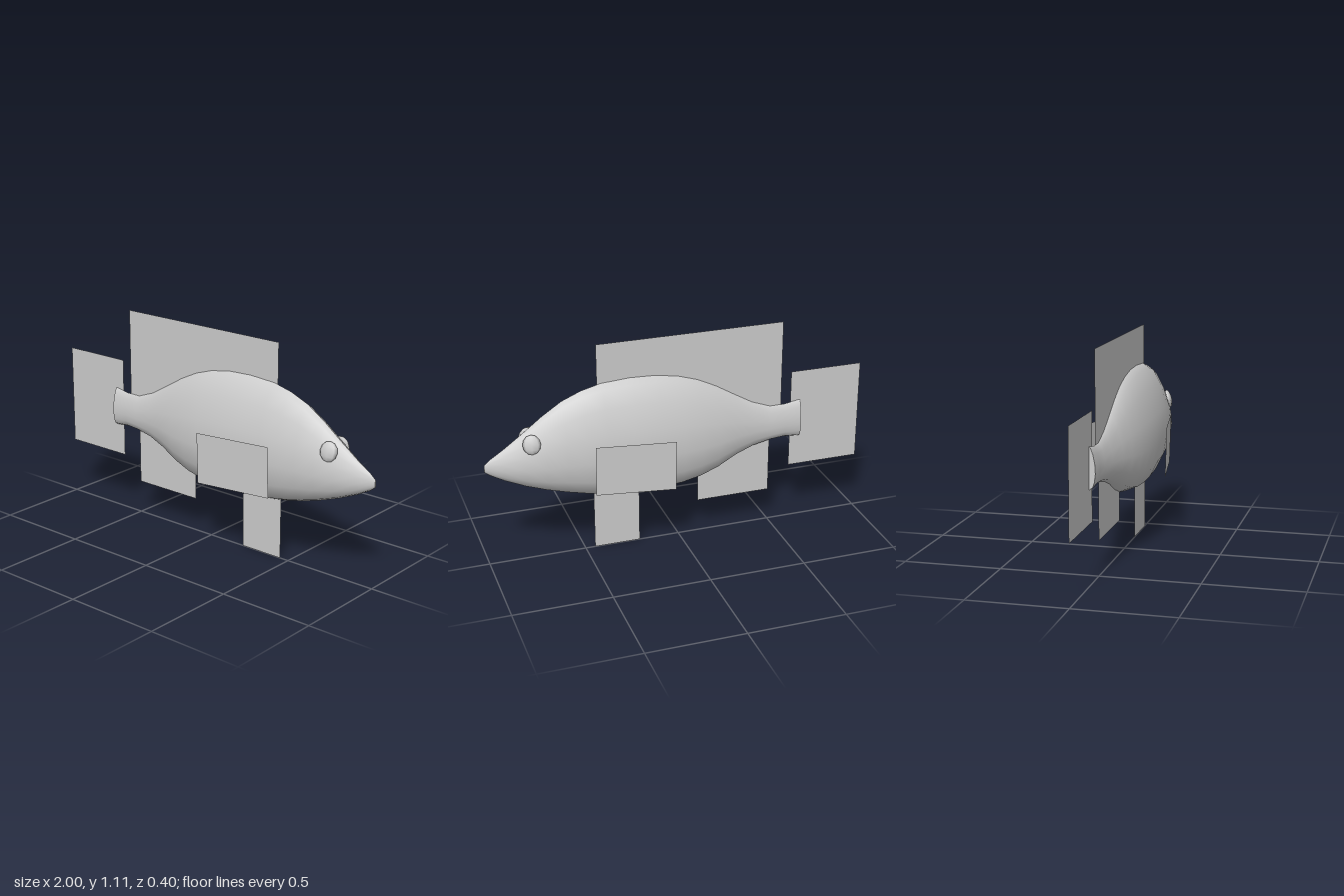
import * as THREE from 'three';

// Body stations from tail to nose: x, top, bottom, half width
const STATIONS = [
  [-0.665, 0.67, 0.465, 0.03], [-0.58, 0.656, 0.472, 0.03], [-0.5, 0.655, 0.466, 0.033],
  [-0.4, 0.692, 0.446, 0.046], [-0.3, 0.75, 0.41, 0.07], [-0.2, 0.81, 0.358, 0.094],
  [-0.1, 0.858, 0.322, 0.113], [0, 0.89, 0.302, 0.126], [0.12, 0.91, 0.295, 0.135],
  [0.25, 0.915, 0.298, 0.137], [0.4, 0.905, 0.306, 0.131], [0.5, 0.88, 0.322, 0.121],
  [0.6, 0.838, 0.346, 0.108], [0.7, 0.772, 0.376, 0.093], [0.8, 0.695, 0.412, 0.071],
  [0.9, 0.622, 0.456, 0.042], [0.97, 0.577, 0.494, 0.016], [0.997, 0.553, 0.515, 0.004],
];
// Half section from belly to back: height fraction, width fraction
const SECTION = [[0, 0], [0.05, 0.55], [0.187, 0.86], [0.38, 1], [0.61, 0.91], [0.82, 0.61], [0.96, 0.27], [1, 0]];

// One side of the body; each side is smooth, leaving a crease along back and belly
function bodySide(side) {
  const pos = [], index = [], n = SECTION.length;
  const tri = (a, b, c) => (side > 0 ? index.push(a, b, c) : index.push(a, c, b));
  const ring = ([x, top, bottom, w]) => {
    for (const [h, f] of SECTION) pos.push(x, bottom + (top - bottom) * h, side * w * f);
  };
  STATIONS.forEach(ring);
  for (let i = 0; i < STATIONS.length - 1; i++) {
    for (let j = 0; j < n - 1; j++) {
      const a = i * n + j, b = a + n;
      tri(a, b, b + 1);
      tri(a, b + 1, a + 1);
    }
  }
  // Flat caps at the tail and nose, with their own vertices for a sharp edge
  [STATIONS[0], STATIONS[STATIONS.length - 1]].forEach((station, end) => {
    const start = pos.length / 3;
    ring(station);
    for (let j = 1; j < n - 1; j++) {
      if (end === 0) tri(start, start + j, start + j + 1);
      else tri(start, start + j + 1, start + j);
    }
  });
  const geo = new THREE.BufferGeometry();
  geo.setAttribute('position', new THREE.Float32BufferAttribute(pos, 3));
  geo.setIndex(index);
  geo.computeVertexNormals();
  return geo;
}

export function createModel() {
  const fish = new THREE.Group();
  fish.name = 'fish';
  const grey = new THREE.MeshStandardMaterial({ color: 0xcccccc, side: THREE.DoubleSide });
  grey.name = 'light grey';
  const add = (name, geo) => {
    const mesh = new THREE.Mesh(geo, grey);
    mesh.name = name;
    fish.add(mesh);
    return mesh;
  };

  // Flat fins on the centre plane
  const fin = (name, x0, x1, y0, y1) =>
    add(name, new THREE.PlaneGeometry(x1 - x0, y1 - y0)).position.set((x0 + x1) / 2, (y0 + y1) / 2, 0);
  fin('dorsalFin', -0.56, 0.42, 0.6, 1.11);
  fin('tailFin', -1, -0.613, 0.3, 0.83);
  fin('analFin', -0.5, -0.107, 0.175, 0.5);
  fin('pelvicFin', 0.21, 0.45, 0, 0.36);

  for (const side of [1, -1]) {
    const label = side > 0 ? 'front' : 'back';
    add(label + 'BodySide', bodySide(side));

    // Pectoral fin, flaring out towards the tail and slightly towards the top
    const pectoral = new THREE.PlaneGeometry(0.395, 0.265);
    const p = pectoral.attributes.position;
    for (let i = 0; i < p.count; i++) {
      const x = p.getX(i), y = p.getY(i);
      p.setZ(i, side * (0.167 - 0.158 * x + 0.03 * y));
    }
    pectoral.translate(0.2725, 0.4975, 0);
    pectoral.computeVertexNormals();
    add(label + 'PectoralFin', pectoral);

    // Flattened eye lying along the slope of the head
    const eye = add(label + 'Eye', new THREE.SphereGeometry(1, 8, 6));
    eye.scale.set(0.045, 0.05, 0.019);
    eye.position.set(0.768, 0.655, side * 0.057);
    eye.rotation.set(-0.25 * side, 0.2 * side, 0);
  }
  return fish;
}
